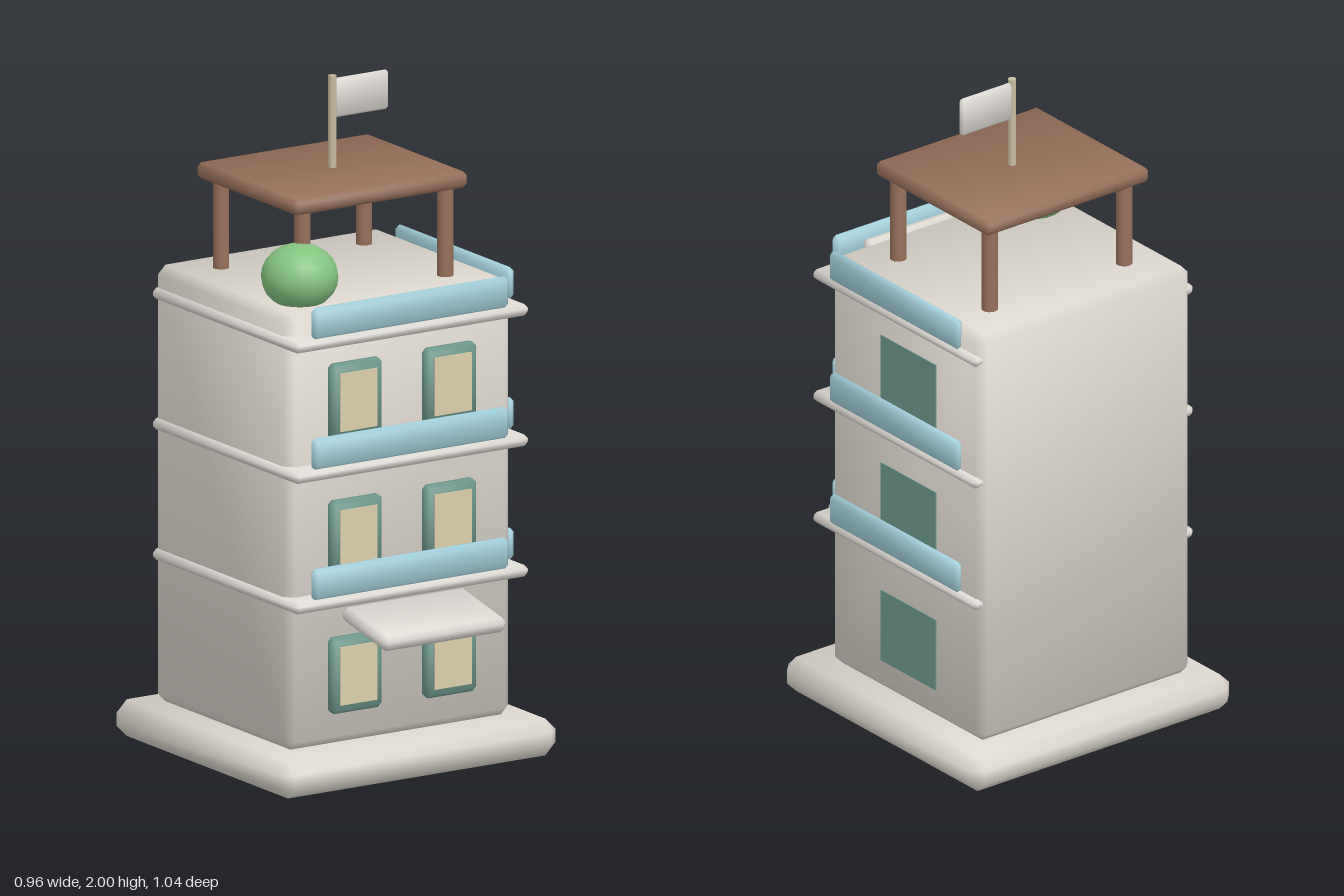
import * as THREE from 'three';
import { ConvexGeometry } from 'three/addons/geometries/ConvexGeometry.js';

// Box with chamfered edges and softly blended normals
function bevelBox(w, h, d, c) {
  const half = [w / 2, h / 2, d / 2];
  const points = [];
  for (const sx of [-1, 1]) for (const sy of [-1, 1]) for (const sz of [-1, 1]) {
    const s = [sx, sy, sz];
    for (let main = 0; main < 3; main++) {
      points.push(new THREE.Vector3(...s.map((v, i) => v * (half[i] - (i === main ? 0 : c)))));
    }
  }
  const geo = new ConvexGeometry(points);
  const pos = geo.attributes.position, nor = geo.attributes.normal;
  const n = new THREE.Vector3();
  for (let i = 0; i < pos.count; i++) {
    const p = [pos.getX(i), pos.getY(i), pos.getZ(i)];
    n.set(...p.map((v, k) => Math.sign(v) * (half[k] - Math.abs(v) < c * 0.5 ? 1 : 0.43))).normalize();
    nor.setXYZ(i, n.x, n.y, n.z);
  }
  return geo;
}

export function createModel() {
  const model = new THREE.Group();
  model.name = 'building';

  const mat = (name, color) => {
    const m = new THREE.MeshStandardMaterial({ color });
    m.name = name;
    return m;
  };
  const wall = mat('wall', 0xdcd7ce);
  const trim = mat('trim', 0xdedad4);
  const railing = mat('railing', 0xa2d0dc);
  const frame = mat('window frame', 0x6d998c);
  const pane = mat('window pane', 0xdccfaa);
  const wood = mat('wood', 0x98705a);
  const leaf = mat('leaf', 0x85c480);
  const pole = mat('pole', 0xc8bd9f);

  const add = (name, geo, material, x, y, z) => {
    const mesh = new THREE.Mesh(geo, material);
    mesh.name = name;
    mesh.position.set(x, y, z);
    model.add(mesh);
    return mesh;
  };
  // Bevelled box given by its limits on each axis
  const block = (name, material, [x0, x1], [y0, y1], [z0, z1], c) =>
    add(name, bevelBox(x1 - x0, y1 - y0, z1 - z0, c), material,
      (x0 + x1) / 2, (y0 + y1) / 2, (z0 + z1) / 2);

  // Plinth and main tower
  block('plinth', wall, [-0.48, 0.48], [0, 0.11], [-0.523, 0.395], 0.035);
  block('tower', wall, [-0.39, 0.39], [0.11, 1.415], [-0.434, 0.275], 0.026);

  for (let floor = 0; floor < 3; floor++) {
    // Ledge with a front and a side railing
    const y = 0.536 + floor * 0.39;
    block('ledge', trim, [-0.405, 0.405], [y, y + 0.034], [-0.424, 0.342], 0.012);
    block('frontRailing', railing, [-0.338, 0.338], [y + 0.03, y + 0.125], [0.309, 0.338], 0.012);
    block('sideRailing', railing, [0.382, 0.411], [y + 0.03, y + 0.125], [-0.345, 0.257], 0.012);

    // Front windows and the side window
    const wy = 0.207 + floor * 0.409;
    for (const s of [-1, 1]) {
      const cx = s * 0.163;
      block('windowFrame', frame, [cx - 0.088, cx + 0.088], [wy, wy + 0.227], [0.262, 0.302], 0.012);
      add('windowPane', new THREE.BoxGeometry(0.128, 0.174, 0.005), pane, cx, wy + 0.1135, 0.303);
    }
    add('sideWindow', new THREE.BoxGeometry(0.006, 0.225, 0.257), frame, 0.39, wy + 0.1135, -0.097);
  }

  // Front parapet block and entrance awning
  block('parapet', trim, [-0.246, 0.246], [1.34, 1.412], [0.272, 0.306], 0.01);
  const awning = add('awning', bevelBox(0.424, 0.046, 0.24, 0.014), trim, 0, 0.479, 0.4);
  awning.rotation.x = 0.2;

  // Roof canopy on four posts
  block('canopy', wood, [-0.3, 0.3], [1.678, 1.726], [-0.348, 0.18], 0.012);
  const postGeo = new THREE.CylinderGeometry(0.024, 0.024, 0.29, 16);
  for (const x of [-0.247, 0.247]) for (const z of [-0.293, 0.135]) {
    add('canopyPost', postGeo, wood, x, 1.545, z);
  }

  // Flagpole and flag
  add('flagpole', new THREE.CylinderGeometry(0.012, 0.012, 0.29, 12), pole, 0, 1.855, -0.083);
  block('flag', trim, [0.004, 0.192], [1.873, 1.99], [-0.094, -0.074], 0.008);

  // Rooftop shrub
  const shrub = add('shrub', new THREE.SphereGeometry(0.113, 18, 12), leaf, -0.267, 1.49, 0.151);
  shrub.scale.y = 0.86;

  return model;
}
